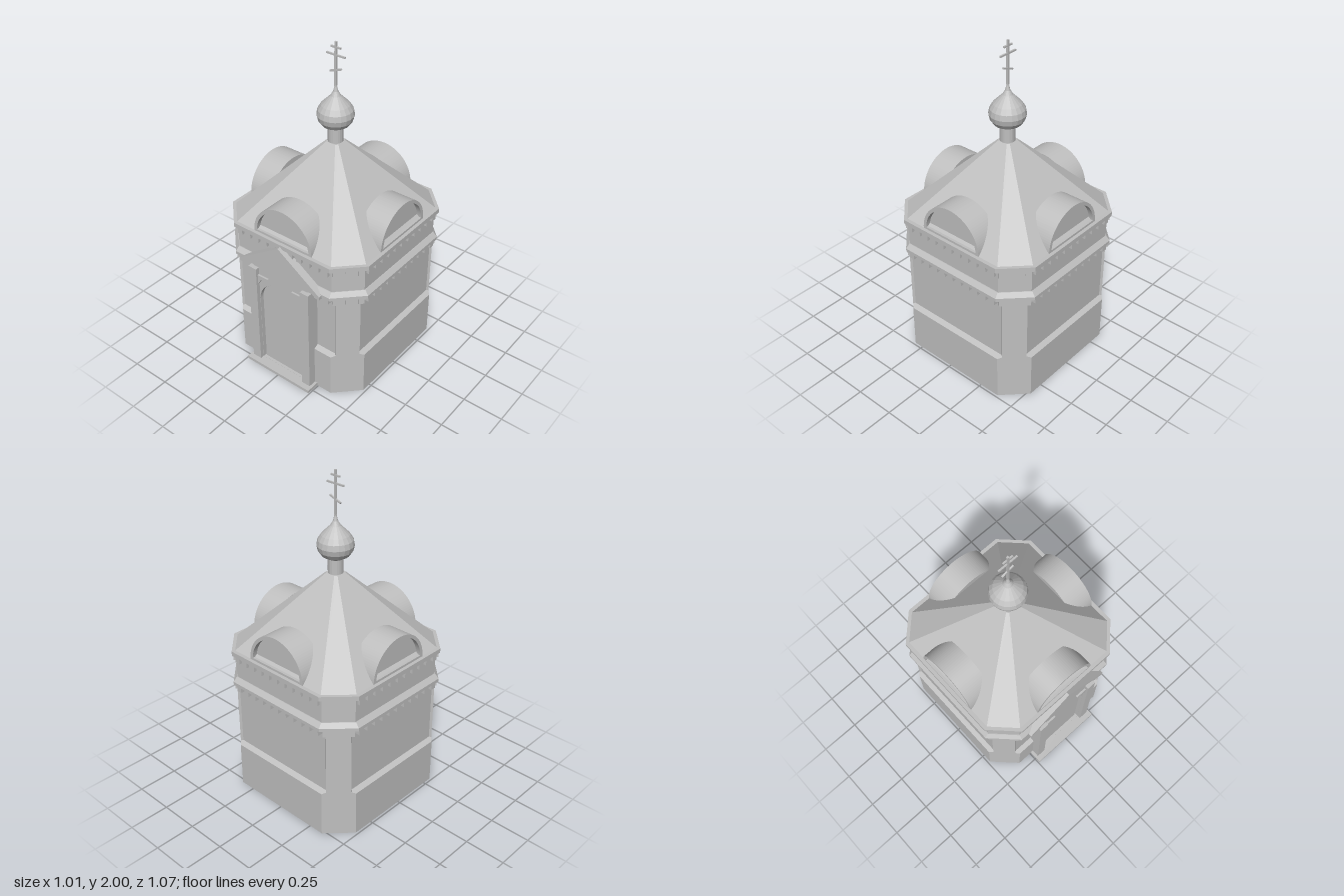
import * as THREE from 'three';

const stone = new THREE.MeshStandardMaterial({ color: 0xbfbfbf, flatShading: true });
stone.name = 'pale stone';

function add(parent, name, geometry, x = 0, y = 0, z = 0) {
  const mesh = new THREE.Mesh(geometry, stone);
  mesh.name = name;
  mesh.position.set(x, y, z);
  parent.add(mesh);
  return mesh;
}
const box = (w, h, d) => new THREE.BoxGeometry(w, h, d);

// Repeats corner points around four quarter turns to make a closed ring
function ring(corner) {
  const points = [];
  let quarter = corner;
  for (let i = 0; i < 4; i++) {
    points.push(...quarter);
    quarter = quarter.map(([x, z]) => [-z, x]);
  }
  return points;
}
const octagon = (half, c) => ring([[half, c], [c, half]]);

// Joins [y, ring] levels into a closed solid
function loft(levels) {
  const v = [];
  const tri = (...pts) => pts.forEach(([p, y]) => v.push(p[0], y, p[1]));
  const n = levels[0][1].length;
  const last = levels.length - 1;
  for (let i = 0; i < n; i++) {
    const j = (i + 1) % n;
    for (let k = 0; k < last; k++) {
      const [y0, r0] = levels[k], [y1, r1] = levels[k + 1];
      tri([r0[i], y0], [r1[i], y1], [r0[j], y0]);
      tri([r0[j], y0], [r1[i], y1], [r1[j], y1]);
    }
    const [yb, rb] = levels[0], [yt, rt] = levels[last];
    tri([[0, 0], yb], [rb[i], yb], [rb[j], yb]);
    tri([[0, 0], yt], [rt[j], yt], [rt[i], yt]);
  }
  const g = new THREE.BufferGeometry();
  g.setAttribute('position', new THREE.Float32BufferAttribute(v, 3));
  g.computeVertexNormals();
  return g;
}

function extrude(shape, depth) {
  return new THREE.ExtrudeGeometry(shape, { depth, bevelEnabled: false, curveSegments: 24 });
}
const polygon = (pts) => new THREE.Shape(pts.map(([x, y]) => new THREE.Vector2(x, y)));

function halfDisc(r, y = 0) {
  const s = new THREE.Shape();
  const a = Math.asin(y / r);
  s.absarc(0, 0, r, a, Math.PI - a, false);
  s.closePath();
  return s;
}

// Row of square teeth hung under a cornice on all eight sides
function addTeeth(parent, y) {
  const rows = new THREE.Group();
  rows.name = 'corniceTeeth';
  for (let side = 0; side < 8; side++) {
    const row = new THREE.Group();
    row.name = 'toothRow';
    row.rotation.y = side * Math.PI / 4;
    const diagonal = side % 2 === 1;
    const count = diagonal ? 3 : 11;
    const step = diagonal ? 0.072 : 0.063;
    for (let i = 0; i < count; i++) {
      add(row, 'tooth', box(0.034, 0.042, 0.04), (i - (count - 1) / 2) * step, y, diagonal ? 0.577 : 0.473);
    }
    rows.add(row);
  }
  parent.add(rows);
}

function addDormer(parent, angle) {
  const dormer = new THREE.Group();
  dormer.name = 'roundDormer';
  dormer.rotation.y = angle;
  const frame = halfDisc(0.21);
  frame.holes.push(halfDisc(0.19, 0.014));
  add(dormer, 'dormerFrame', extrude(frame, 0.03), 0, 0.953, 0.452);
  add(dormer, 'dormerBarrel', extrude(halfDisc(0.21), 0.132), 0, 0.953, 0.32);
  parent.add(dormer);
}

function addCross(parent) {
  const cross = new THREE.Group();
  cross.name = 'cross';
  add(cross, 'post', box(0.012, 0.26, 0.012), 0, 1.87, 0);
  add(cross, 'topBar', box(0.066, 0.01, 0.01), 0, 1.967, 0);
  add(cross, 'mainBar', box(0.126, 0.01, 0.01), 0, 1.922, 0);
  add(cross, 'slantedBar', box(0.084, 0.01, 0.01), 0, 1.834, 0).rotation.z = 0.35;
  parent.add(cross);
}

function addPortal(parent) {
  const portal = new THREE.Group();
  portal.name = 'portal';
  add(portal, 'doorStep', box(0.486, 0.02, 0.135), 0, 0.01, 0.4675);

  // Wall with an arched opening, rising into the gable
  const wall = polygon([[-0.2, 0.02], [0.2, 0.02], [0.2, 0.725], [0.28, 0.725], [0, 0.925], [-0.28, 0.725], [-0.2, 0.725]]);
  const arch = (r, y) => {
    const p = new THREE.Shape();
    p.moveTo(-r, y);
    p.lineTo(r, y);
    p.lineTo(r, 0.485);
    p.absarc(0, 0.485, r, 0, Math.PI, false);
    p.closePath();
    return p;
  };
  wall.holes.push(arch(0.163, 0.021));
  add(portal, 'portalWall', extrude(wall, 0.075), 0, 0, 0.4);
  add(portal, 'door', extrude(arch(0.155, 0.02), 0.045), 0, 0, 0.412);
  add(portal, 'doorRecess', extrude(arch(0.165, 0.02), 0.04), 0, 0, 0.41);

  for (const s of [-1, 1]) {
    add(portal, 'pier', box(0.06, 0.7, 0.1), s * 0.195, 0.37, 0.45);
    const bracket = polygon([[s * 0.165, 0.672], [s * 0.09, 0.672], [s * 0.14, 0.645], [s * 0.165, 0.605]]);
    add(portal, 'bracket', extrude(bracket, 0.012), 0, 0, 0.475);
    // Sloping gable moulding
    const rake = polygon([[0, 0.94], [s * 0.295, 0.742], [s * 0.295, 0.72], [s * 0.27, 0.72], [0, 0.918]]);
    add(portal, 'gableMoulding', extrude(rake, 0.088), 0, 0, 0.4);
  }
  parent.add(portal);
}

export function createModel() {
  const model = new THREE.Group();
  model.name = 'chapel';
  const body = new THREE.Group();
  body.name = 'chapelBody';
  body.position.z = -0.036;
  model.add(body);

  // Plinth and walls with shallow recessed sides
  const wall = ring([[0.455, 0.353], [0.465, 0.365], [0.365, 0.465], [0.353, 0.455]]);
  add(body, 'plinth', loft([[0, octagon(0.485, 0.345)], [0.288, octagon(0.485, 0.345)], [0.305, octagon(0.455, 0.375)]]));
  add(body, 'walls', loft([[0.28, wall], [0.735, wall]]));

  // Lower cornice, frieze and upper cornice
  const wide = octagon(0.503, 0.35), frieze = octagon(0.48, 0.345);
  add(body, 'lowerCornice', loft([[0.71, octagon(0.468, 0.355)], [0.728, octagon(0.468, 0.355)], [0.728, wide], [0.748, wide], [0.775, frieze]]));
  add(body, 'frieze', loft([[0.77, octagon(0.475, 0.345)], [0.93, octagon(0.475, 0.345)]]));
  add(body, 'upperCornice', loft([[0.925, wide], [0.953, wide]]));
  addTeeth(body, 0.709);
  addTeeth(body, 0.905);

  // Eight-sided roof with four round dormers
  add(body, 'roof', loft([[0.953, octagon(0.48, 0.345)], [1.4, octagon(0.045, 0.032)]]));
  for (let i = 0; i < 4; i++) addDormer(body, i * Math.PI / 2);

  // Neck and onion dome
  add(body, 'domeNeck', new THREE.CylinderGeometry(0.045, 0.045, 0.11, 20), 0, 1.445, 0);
  const profile = [[0, 1.49], [0.05, 1.49], [0.08, 1.507], [0.1, 1.535], [0.108, 1.567], [0.102, 1.6], [0.083, 1.63],
    [0.055, 1.658], [0.03, 1.683], [0.015, 1.708], [0.008, 1.735], [0.004, 1.765], [0, 1.765]];
  add(body, 'onionDome', new THREE.LatheGeometry(profile.map(([r, y]) => new THREE.Vector2(r, y)), 20));
  addCross(body);

  addPortal(model);
  return model;
}
